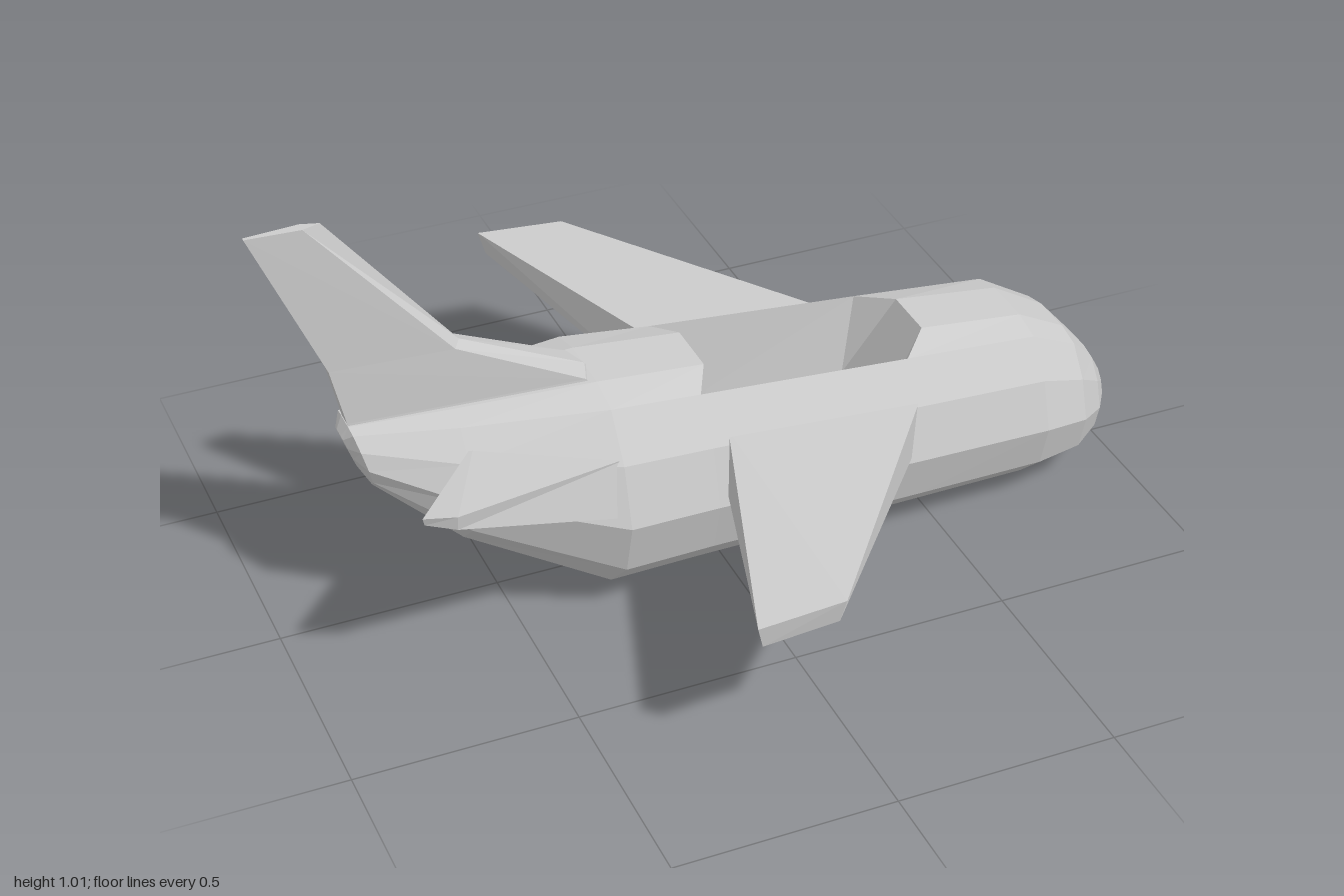
import * as THREE from 'three';

const material = new THREE.MeshStandardMaterial({ color: 0xcccccc, flatShading: true });
const openMaterial = new THREE.MeshStandardMaterial({ color: 0xcccccc, flatShading: true, side: THREE.DoubleSide });

// Join closed cross-sections (arrays of [x, y, z]) into a faceted mesh facing outwards
function loft(name, sections, { skip = () => false, capStart = true, capEnd = true, mat = material } = {}) {
  const tris = [];
  const n = sections[0].length;
  for (let s = 0; s < sections.length - 1; s++) {
    const a = sections[s], b = sections[s + 1];
    for (let i = 0; i < n; i++) {
      if (skip(s, i)) continue;
      const j = (i + 1) % n;
      tris.push([a[i], b[i], b[j]], [a[i], b[j], a[j]]);
    }
  }
  const first = sections[0], last = sections[sections.length - 1];
  for (let i = 1; i < n - 1; i++) {
    if (capStart) tris.push([first[0], first[i], first[i + 1]]);
    if (capEnd) tris.push([last[0], last[i + 1], last[i]]);
  }
  // a negative enclosed volume means the winding is inside out
  let volume = 0;
  for (const [p, q, r] of tris) {
    volume += new THREE.Vector3(...p).dot(new THREE.Vector3(...q).cross(new THREE.Vector3(...r)));
  }
  if (volume < 0) tris.forEach((t) => t.reverse());
  const geometry = new THREE.BufferGeometry();
  geometry.setAttribute('position', new THREE.Float32BufferAttribute(tris.flat(2), 3));
  geometry.computeVertexNormals();
  const mesh = new THREE.Mesh(geometry, mat);
  mesh.name = name;
  return mesh;
}

// Unit body outline, from the keel up one side and down the other
const half = [[0, -1], [0.5, -0.866], [0.866, -0.5], [1, 0], [0.85, 0.53], [0.58, 0.92], [0.27, 1]];
const outline = [...half, ...half.slice(1).reverse().map(([z, y]) => [-z, y])];

// One body ring: x, bottom, top, half width, backward lean, forward shift of the roof points
function ring([x, bottom, top, width, lean = 0, roof = 0]) {
  const mid = (bottom + top) / 2, h = (top - bottom) / 2;
  return outline.map(([z, y]) => [x - lean * y + (y === 1 ? roof : 0), mid + y * h, z * width]);
}

const mirrorZ = (sections) => sections.map((s) => s.map(([x, y, z]) => [x, y, -z]));

export function createModel() {
  const model = new THREE.Group();
  model.name = 'toyPlane';

  // Fuselage with an open cockpit between rings 4 and 5
  const rings = [
    [-0.82, 0.42, 0.505, 0.045, 0.015],
    [-0.80, 0.375, 0.53, 0.09, 0.02],
    [-0.60, 0.20, 0.53, 0.175],
    [-0.28, 0.005, 0.53, 0.265],
    [-0.07, 0.005, 0.507, 0.252, 0, 0.04],
    [0.43, 0.005, 0.462, 0.24, 0, 0.07],
    [0.75, 0.005, 0.432, 0.228],
    [0.87, 0.015, 0.365, 0.188],
    [0.94, 0.05, 0.285, 0.13],
    [0.985, 0.1, 0.21, 0.062],
    [1.0, 0.145, 0.165, 0.012],
  ].map(ring);
  model.add(loft('fuselage', rings, { skip: (s, i) => s === 4 && i >= 5 && i <= 7 }));

  // Cockpit tub hanging from the rim of the opening
  const rim = [...rings[4].slice(5, 9), ...rings[5].slice(5, 9).reverse()];
  const floor = rim.map(([x, y, z], i) => [i < 4 ? -0.03 : 0.4, 0.25, z * 0.92]);
  model.add(loft('cockpit', [floor, rim], { capEnd: false, mat: openMaterial }));

  // Wings: root inside the body, then tip (front top, front bottom, rear bottom, rear top)
  const wing = [
    [[0.46, 0.36, 0.16], [0.46, 0.235, 0.16], [-0.02, 0.26, 0.16], [-0.02, 0.40, 0.18]],
    [[-0.03, 0.385, 0.80], [-0.04, 0.33, 0.79], [-0.22, 0.335, 0.81], [-0.235, 0.39, 0.82]],
  ];
  model.add(loft('leftSideWing', wing), loft('rightSideWing', mirrorZ(wing)));

  // Tailplanes rising outwards
  const tailplane = [
    [[-0.25, 0.41, 0.20], [-0.25, 0.27, 0.23], [-0.57, 0.36, 0.10], [-0.57, 0.47, 0.10]],
    [[-0.71, 0.52, 0.40], [-0.71, 0.485, 0.395], [-0.775, 0.505, 0.38], [-0.78, 0.525, 0.385]],
  ];
  model.add(loft('tailplaneNear', tailplane), loft('tailplaneFar', mirrorZ(tailplane)));

  // Tail fin sections: y, front x, shoulder x, shoulder half width, rear x, rear half width
  const fin = [
    [0.47, -0.24, -0.25, 0.07, -0.80, 0.025],
    [0.535, -0.28, -0.30, 0.06, -0.82, 0.02],
    [0.67, -0.56, -0.58, 0.035, -0.85, 0.015],
    [1.02, -0.84, -0.88, 0.012, -1.0, 0.004],
  ].map(([y, front, mid, w, rear, v]) =>
    [[front, y, 0], [mid, y, w], [rear, y, v], [rear, y, -v], [mid, y, -w]]);
  model.add(loft('tailFin', fin));

  return model;
}
